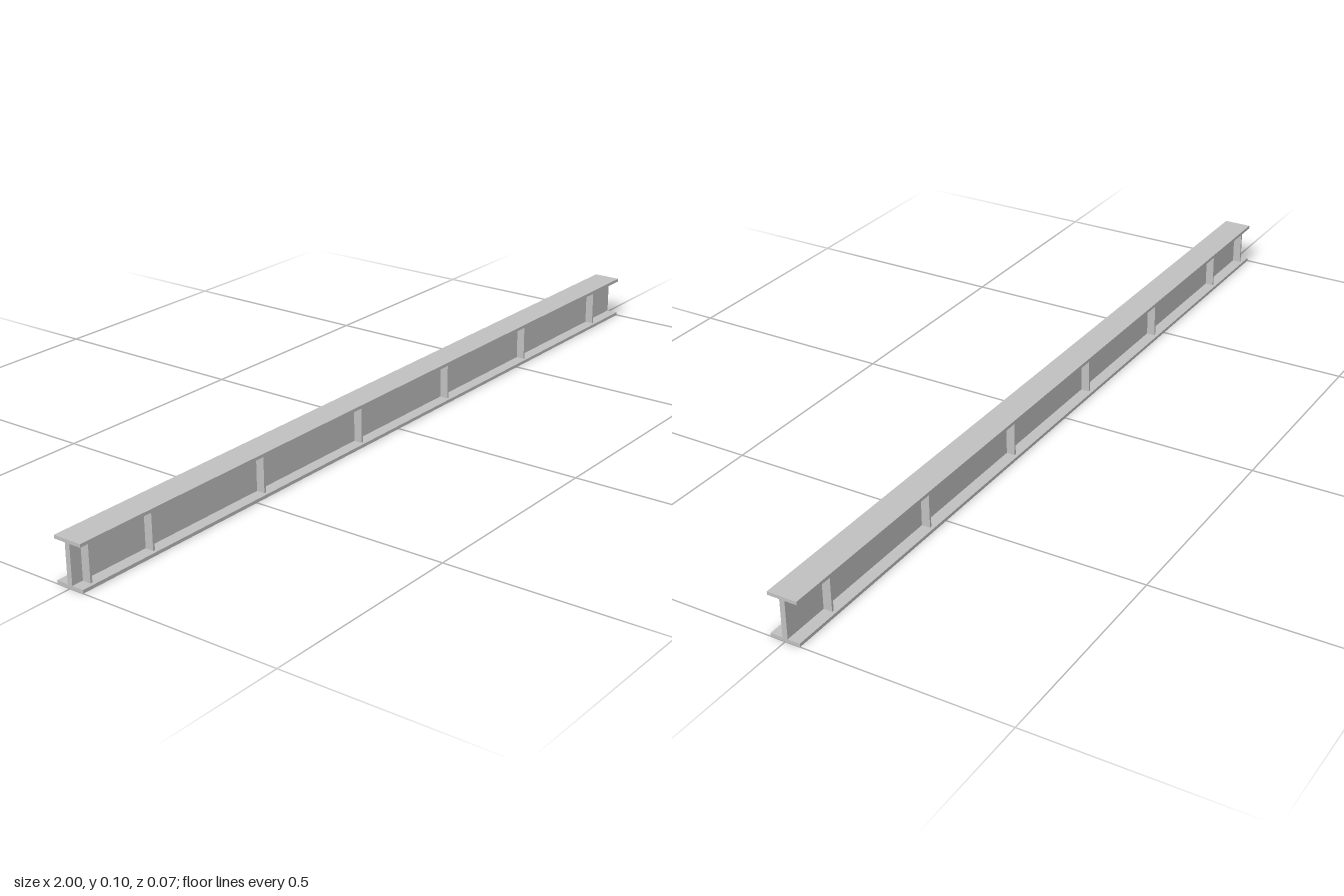
import * as THREE from 'three';

export function createModel() {
  const group = new THREE.Group();
  group.name = 'steelBeam';
  const steel = new THREE.MeshStandardMaterial({ color: 0xc0c0c0 });
  steel.name = 'grey steel';

  const length = 2, height = 0.102, flangeHalf = 0.034, flangeT = 0.0075;
  const webHalf = 0.006, stiffenerHalf = 0.026, stiffenerT = 0.005;

  // I-section outline (z across, y up), extruded along the length
  const a = flangeHalf, b = webHalf, low = flangeT, high = height - flangeT;
  const outline = [
    [-a, 0], [a, 0], [a, low], [b, low], [b, high], [a, high],
    [a, height], [-a, height], [-a, high], [-b, high], [-b, low], [-a, low],
  ].map(([x, y]) => new THREE.Vector2(x, y));
  const beamGeo = new THREE.ExtrudeGeometry(new THREE.Shape(outline), { depth: length, bevelEnabled: false });
  beamGeo.translate(0, 0, -length / 2).rotateY(Math.PI / 2);
  const beam = new THREE.Mesh(beamGeo, steel);
  beam.name = 'beam';
  group.add(beam);

  // Thin stiffener plates between the flanges, on both sides of the web
  const plateGeo = new THREE.BoxGeometry(stiffenerT, high - low, stiffenerHalf - webHalf);
  for (const x of [-0.97, -0.8, -0.464, -0.128, 0.209, 0.546, 0.885]) {
    for (const side of [-1, 1]) {
      const plate = new THREE.Mesh(plateGeo, steel);
      plate.name = side > 0 ? 'frontStiffener' : 'backStiffener';
      plate.position.set(x, height / 2, side * (webHalf + stiffenerHalf) / 2);
      group.add(plate);
    }
  }
  return group;
}
